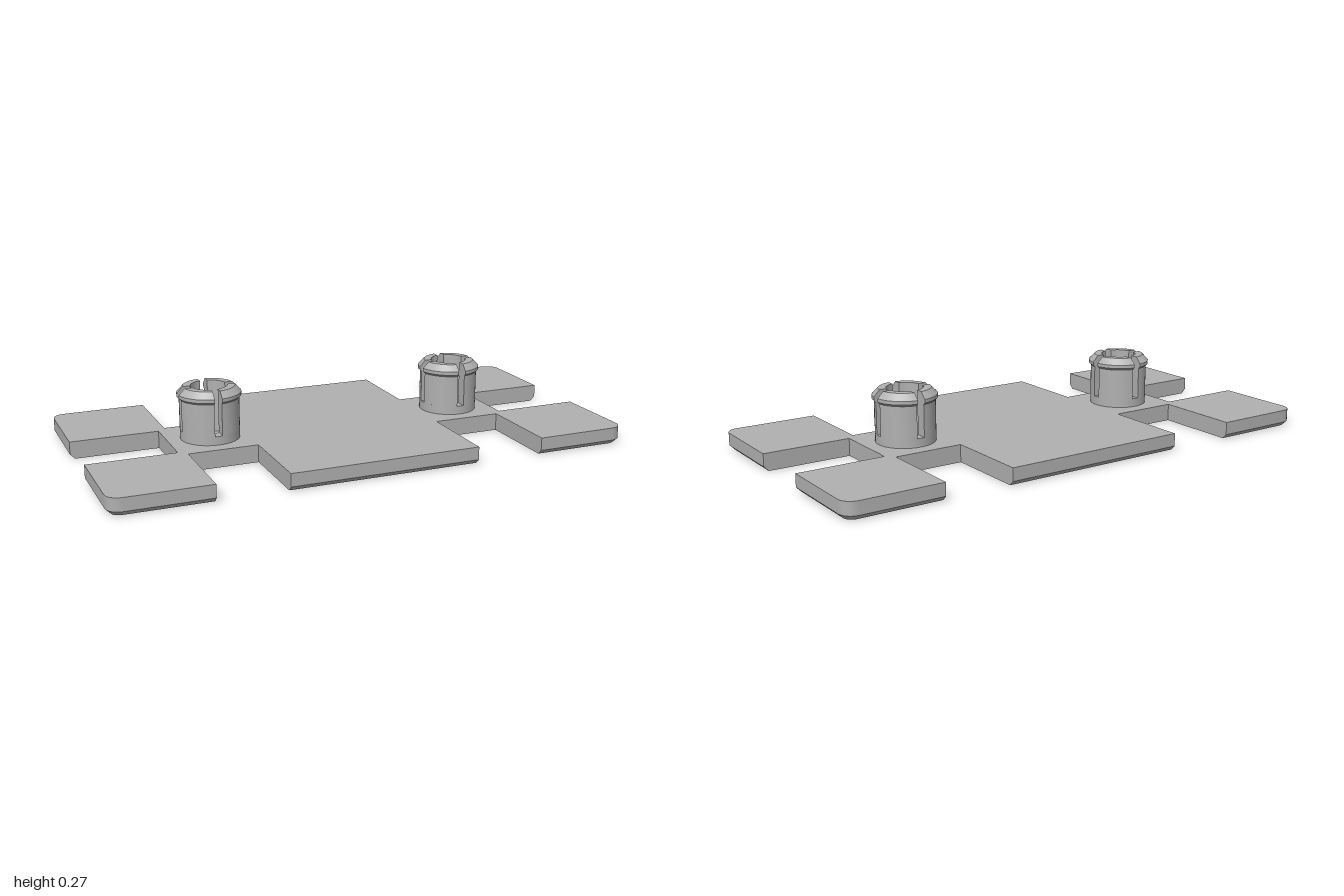
import * as THREE from 'three';
import { mergeGeometries, toCreasedNormals } from 'three/addons/utils/BufferGeometryUtils.js';

const PLATE_H = 0.067, CHAMFER = 0.018, CORNER = 0.05;
const SLOT = 0.014, SLOT_Y = 0.1, R = 0.112, BORE = 0.068;

// Notched plate with rounded outer corners and a chamfer along the outer lower edges
function plateGeometry() {
  const pts = [[0.367, -0.5], [0.367, -0.165], [0.633, -0.165], [0.633, -0.5]];
  for (let i = 0; i <= 6; i++) {
    const a = -Math.PI / 2 + (i / 6) * Math.PI / 2;
    pts.push([1 - CORNER + CORNER * Math.cos(a), -0.5 + CORNER + CORNER * Math.sin(a)]);
  }
  pts.push([1, -0.135], [0.663, -0.135]);
  // Mirror one quarter into the four quadrants, keeping the order counterclockwise
  const back = [...pts].reverse();
  const outline = [
    ...pts,
    ...back.map(([x, y]) => [x, -y]),
    ...pts.map(([x, y]) => [-x, -y]),
    ...back.map(([x, y]) => [-x, y]),
  ].map(([x, y]) => new THREE.Vector2(x, y));
  const geo = new THREE.ExtrudeGeometry(new THREE.Shape(outline), {
    depth: PLATE_H, steps: 2, bevelEnabled: false,
  });
  geo.rotateX(-Math.PI / 2);
  const p = geo.attributes.position;
  for (let i = 0; i < p.count; i++) {
    const y = p.getY(i);
    if (y > 0.01 && y < 0.05) p.setY(i, CHAMFER);
    if (y > 0.01) continue;
    const x = p.getX(i), z = p.getZ(i);
    const dx = Math.max(Math.abs(x) - (1 - CORNER), 0);
    const dz = Math.max(Math.abs(z) - (0.5 - CORNER), 0);
    if (Math.hypot(dx, dz) < CORNER - 0.001) continue;
    const k = CHAMFER / CORNER;
    p.setXYZ(i, x - Math.sign(x) * dx * k, y, z - Math.sign(z) * dz * k);
  }
  return toCreasedNormals(geo, 0.5);
}

// One springy quarter of the stud, with parallel slot walls at both ends
function prongGeometry() {
  const profile = [
    [BORE, SLOT_Y], [R, SLOT_Y], [R, 0.222], [0.12, 0.23],
    [0.12, 0.243], [0.097, 0.267], [BORE, 0.267],
  ].map(([r, y]) => new THREE.Vector2(r, y));
  const wall = new THREE.LatheGeometry([...profile, profile[0]], 10, 0, Math.PI / 2);
  const p = wall.attributes.position;
  for (let i = 0; i < p.count; i++) {
    const r = Math.hypot(p.getX(i), p.getZ(i));
    const a0 = Math.asin(SLOT / r);
    const a = a0 + Math.atan2(p.getX(i), p.getZ(i)) * (1 - 4 * a0 / Math.PI);
    p.setXYZ(i, r * Math.sin(a), p.getY(i), r * Math.cos(a));
  }
  const cap = (alongX) => {
    const geo = new THREE.ShapeGeometry(new THREE.Shape(profile));
    const q = geo.attributes.position;
    for (let i = 0; i < q.count; i++) {
      const d = Math.sqrt(q.getX(i) ** 2 - SLOT ** 2);
      if (alongX) q.setXYZ(i, d, q.getY(i), SLOT);
      else q.setXYZ(i, SLOT, q.getY(i), d);
    }
    if (alongX) geo.setIndex([...geo.index.array].reverse());
    return geo;
  };
  const parts = [wall, cap(false), cap(true)].map((g) => g.toNonIndexed());
  return toCreasedNormals(mergeGeometries(parts), 0.5);
}

export function createModel() {
  const model = new THREE.Group();
  model.name = 'notchedPlateWithStuds';
  const grey = new THREE.MeshStandardMaterial({ color: 0xb0b0b0 });
  grey.name = 'light grey';

  const add = (parent, name, geo) => {
    const mesh = new THREE.Mesh(geo, grey);
    mesh.name = name;
    parent.add(mesh);
    return mesh;
  };

  add(model, 'plate', plateGeometry());

  // Two split studs: a solid collar below, four prongs above
  const collar = toCreasedNormals(new THREE.LatheGeometry(
    [[R, PLATE_H - 0.005], [R, SLOT_Y], [BORE, SLOT_Y], [BORE, PLATE_H - 0.005]]
      .map(([r, y]) => new THREE.Vector2(r, y)), 40), 0.5);
  const prong = prongGeometry();
  for (const side of [-1, 1]) {
    const stud = new THREE.Group();
    stud.name = side > 0 ? 'leftStud' : 'rightStud';
    stud.position.x = side * 0.5;
    add(stud, 'collar', collar);
    for (let i = 0; i < 4; i++) add(stud, 'prong', prong).rotation.y = i * Math.PI / 2;
    model.add(stud);
  }
  return model;
}
